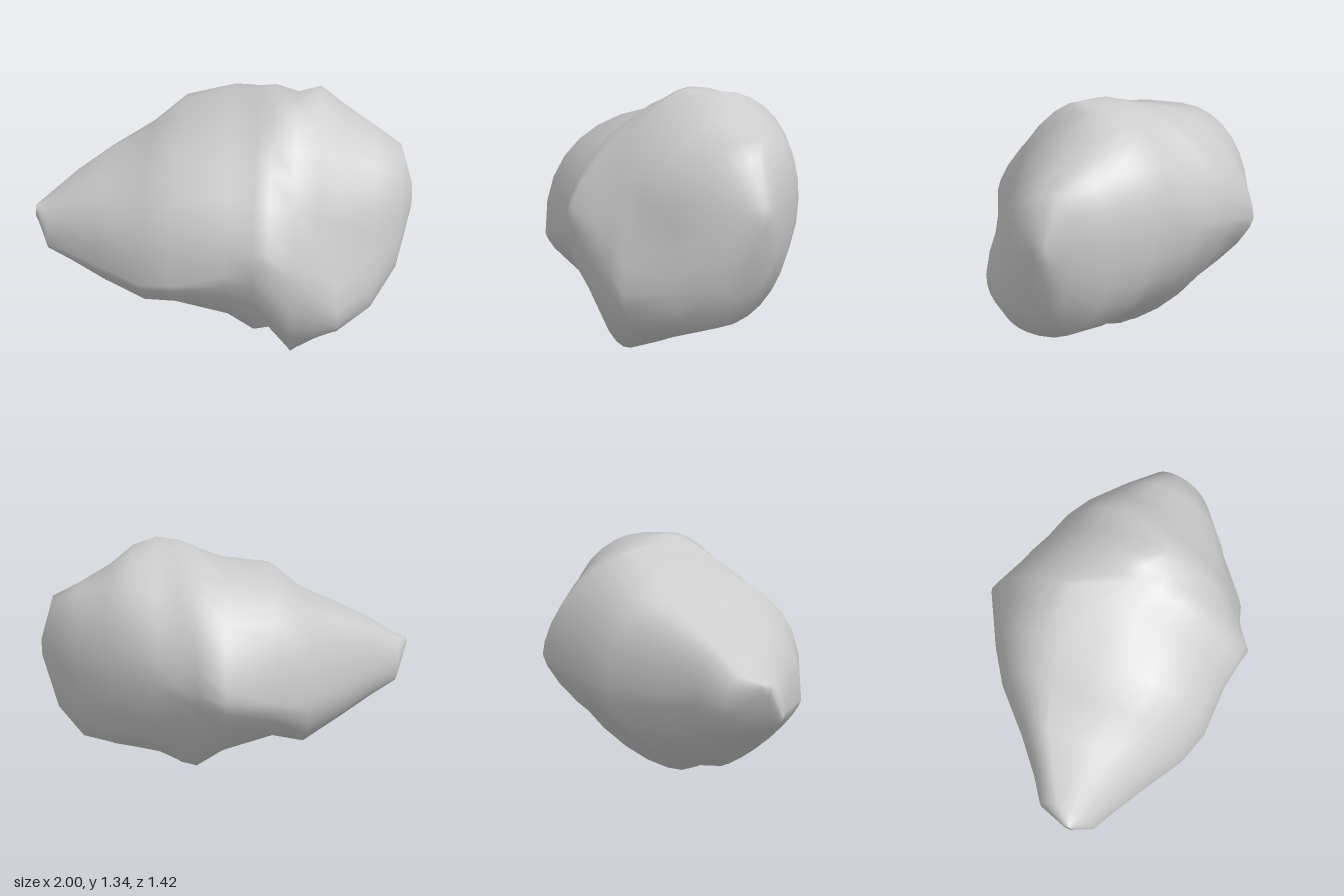
import * as THREE from 'three';

// Cross-sections along x: [x, top z,y, front z,y, bottom z,y, back z,y]
const SECTIONS = [
  [-1.0, 0.18, 0.72, 0.20, 0.69, 0.20, 0.66, 0.15, 0.70],
  [-0.93, 0.10, 0.755, 0.29, 0.54, 0.14, 0.48, -0.01, 0.63],
  [-0.8, 0.02, 0.85, 0.36, 0.54, 0.14, 0.41, -0.10, 0.63],
  [-0.62, -0.08, 0.95, 0.46, 0.52, 0.15, 0.30, -0.25, 0.62],
  [-0.4, -0.15, 1.06, 0.59, 0.50, 0.15, 0.17, -0.46, 0.62],
  [-0.23, -0.17, 1.20, 0.65, 0.54, 0.15, 0.21, -0.57, 0.66],
  [0.04, -0.22, 1.27, 0.66, 0.62, 0.10, 0.10, -0.71, 0.73],
  [0.18, 0.00, 1.31, 0.69, 0.68, 0.10, 0.00, -0.62, 0.75],
  [0.26, 0.03, 1.34, 0.71, 0.71, 0.02, 0.05, -0.59, 0.77],
  [0.38, 0.12, 1.335, 0.64, 0.60, 0.42, 0.025, -0.54, 0.78],
  [0.5, -0.03, 1.33, 0.60, 0.48, 0.34, 0.085, -0.48, 0.80],
  [0.62, -0.04, 1.23, 0.57, 0.38, 0.25, 0.13, -0.42, 0.78],
  [0.8, -0.05, 1.12, 0.39, 0.46, 0.14, 0.20, -0.28, 0.76],
  [0.93, -0.01, 1.05, 0.24, 0.62, 0.08, 0.38, -0.15, 0.78],
  [1.0, -0.02, 0.82, 0.04, 0.76, 0.02, 0.70, -0.04, 0.76],
];
const SEGMENTS = 32;

// Roundness of each section's quarters: front-top, back-top, back-bottom, front-bottom
const ROUNDNESS = [
  [2, 2, 2, 2],
  [2.2, 2, 2, 1.9],
  [2.4, 2, 2, 1.8],
  [2.5, 2.1, 1.95, 1.6],
  [2.4, 2.2, 1.8, 1.35],
  [2.45, 2.2, 1.6, 1.5],
  [2.05, 1.6, 1.4, 1.65],
  [1.6, 2.05, 1.5, 1.75],
  [1.4, 1.95, 1.45, 2.1],
  [1.5, 1.95, 1.85, 1.9],
  [1.65, 2.05, 2, 2.2],
  [1.75, 2.2, 2.05, 2.3],
  [2, 2.1, 2.1, 2.6],
  [2, 2, 2, 2.2],
  [2, 2, 2, 2],
];

// Point on a section outline; the angle runs front, top, back, bottom
function outlinePoint([x, tz, ty, fz, fy, bz, by, kz, ky], roundness, j) {
  const a = (j / SEGMENTS) * Math.PI * 2;
  const quarter = Math.floor((j * 4) / SEGMENTS);
  const power = 2 / roundness[quarter];
  const c = Math.abs(Math.cos(a)) ** power;
  const s = Math.abs(Math.sin(a)) ** power;
  const [pz, py] = quarter < 2 ? [tz, ty] : [bz, by];
  const [sz, sy] = quarter === 0 || quarter === 3 ? [fz, fy] : [kz, ky];
  return new THREE.Vector3(x, sy + (py - sy) * s, pz + (sz - pz) * c);
}

// Shallow hollow pressed towards the core
const HOLLOW = { centre: new THREE.Vector3(0.62, 0.68, 0.47), radius: 0.16, depth: 0.06 };
const CORE = new THREE.Vector3(0.1, 0.68, 0.05);

function pressHollow(p) {
  const amount = HOLLOW.depth * Math.exp(-((p.distanceTo(HOLLOW.centre) / HOLLOW.radius) ** 2));
  return p.addScaledVector(CORE.clone().sub(p).normalize(), amount);
}

function rockGeometry() {
  const positions = [];
  const index = [];
  const last = SECTIONS.length - 1;
  SECTIONS.forEach((section, i) => {
    for (let j = 0; j < SEGMENTS; j++) {
      positions.push(...pressHollow(outlinePoint(section, ROUNDNESS[i], j)).toArray());
      if (i === last) continue;
      const a = i * SEGMENTS + j;
      const c = i * SEGMENTS + ((j + 1) % SEGMENTS);
      index.push(a, a + SEGMENTS, c, c, a + SEGMENTS, c + SEGMENTS);
    }
  });
  // Close both ends
  for (const i of [0, last]) {
    const [x, tz, ty, , , bz, by] = SECTIONS[i];
    const centre = positions.length / 3;
    positions.push(x, (ty + by) / 2, (tz + bz) / 2);
    for (let j = 0; j < SEGMENTS; j++) {
      const a = i * SEGMENTS + j;
      const c = i * SEGMENTS + ((j + 1) % SEGMENTS);
      if (i === 0) index.push(centre, a, c);
      else index.push(centre, c, a);
    }
  }
  const geometry = new THREE.BufferGeometry();
  geometry.setAttribute('position', new THREE.Float32BufferAttribute(positions, 3));
  geometry.setIndex(index);
  geometry.computeVertexNormals();
  return geometry;
}

export function createModel() {
  const group = new THREE.Group();
  group.name = 'boulder';
  const rock = new THREE.Mesh(rockGeometry(), new THREE.MeshStandardMaterial({ color: 0xcccccc }));
  rock.name = 'rock';
  group.add(rock);
  return group;
}
